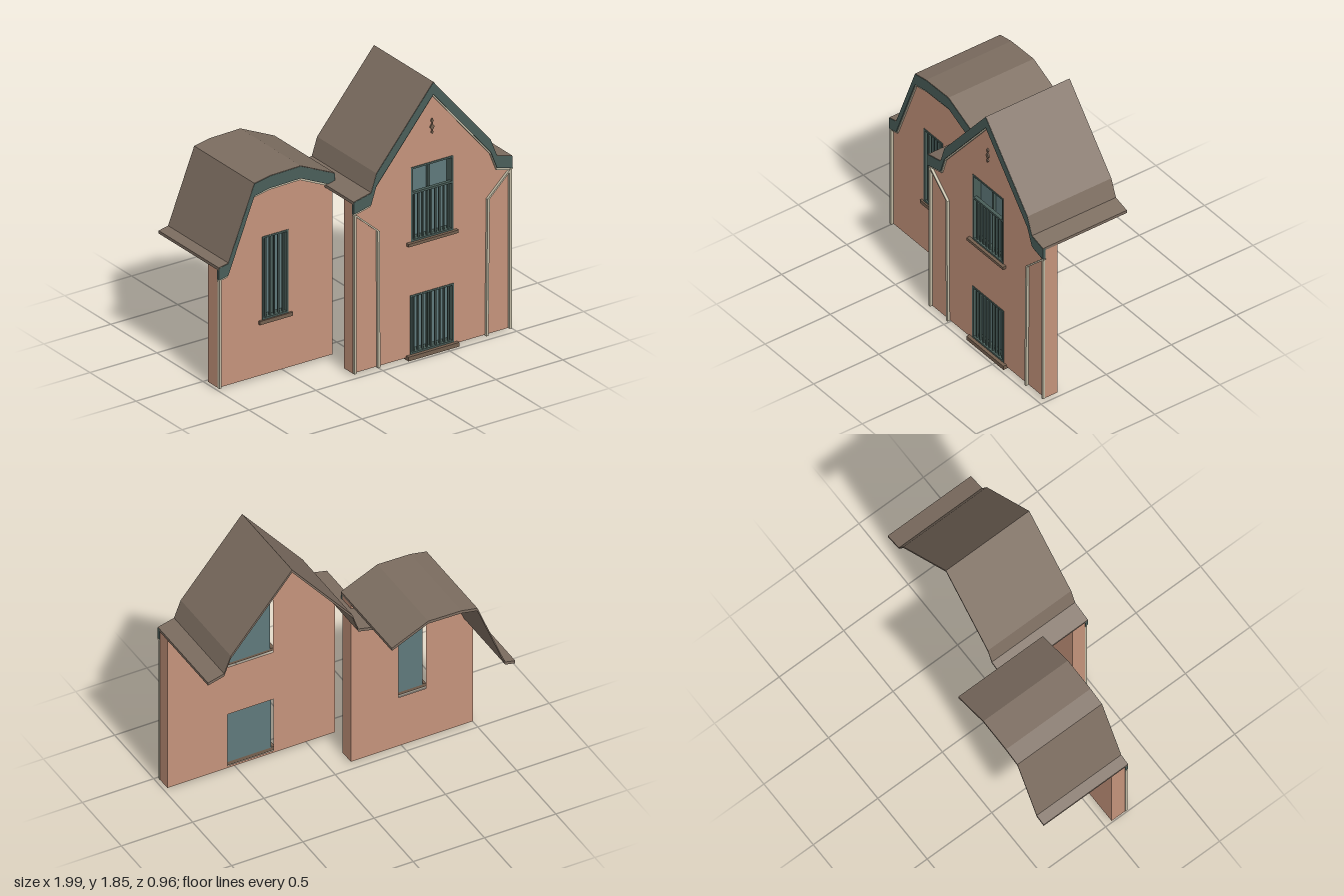
import * as THREE from 'three';

const mat = (name, color) => {
  const m = new THREE.MeshStandardMaterial({ color });
  m.name = name;
  return m;
};

export function createModel() {
  const brick = mat('brick', 0xc4937b);
  const roofing = mat('roof tile', 0x7c6d60);
  const green = mat('green paint', 0x4a5e59);
  const glass = mat('glass', 0x5f797b);
  const cream = mat('cream trim', 0xbfb8a2);
  const stone = mat('sill stone', 0x75604f);

  const add = (parent, name, geometry, material) => {
    const m = new THREE.Mesh(geometry, material);
    m.name = name;
    parent.add(m);
    return m;
  };
  const box = (parent, name, material, x0, x1, y0, y1, z0, z1) =>
    add(parent, name, new THREE.BoxGeometry(x1 - x0, y1 - y0, z1 - z0), material)
      .position.set((x0 + x1) / 2, (y0 + y1) / 2, (z0 + z1) / 2);

  // Outline in x, y pushed from z0 to z1, with rectangular openings
  const slab = (points, z0, z1, openings = []) => {
    const shape = new THREE.Shape(points.map(([x, y]) => new THREE.Vector2(x, y)));
    for (const [x0, x1, y0, y1] of openings) {
      shape.holes.push(new THREE.Path([[x0, y0], [x0, y1], [x1, y1], [x1, y0]]
        .map(([x, y]) => new THREE.Vector2(x, y))));
    }
    return new THREE.ExtrudeGeometry(shape, { depth: z1 - z0, bevelEnabled: false })
      .translate(0, 0, z0);
  };
  // Strip that follows a roof line, between two depths below it
  const band = (line, d0, d1, z0, z1) => slab([
    ...line.map(([x, y]) => [x, y - d0]),
    ...line.map(([x, y]) => [x, y - d1]).reverse(),
  ], z0, z1);

  // Recessed window: glass, frame, upright bars up to barTop, and a sill
  const makeWindow = (parent, name, [x0, x1, y0, y1], front, o) => {
    const g = new THREE.Group();
    g.name = name;
    parent.add(g);
    const back = front - 0.06, f = 0.012, mid = (x0 + x1) / 2;
    box(g, 'pane', glass, x0, x1, y0, y1, back, back + 0.008);
    for (const [a, b] of [[x0, x0 + f], [x1 - f, x1]]) {
      box(g, 'frameSide', green, a, b, y0, y1, back + 0.008, front + 0.004);
    }
    box(g, 'frameTop', green, x0, x1, y1 - f, y1, back + 0.008, front + 0.004);
    box(g, 'frameBottom', green, x0, x1, y0, y0 + f, back + 0.008, front + 0.004);
    if (o.mullion) box(g, 'mullion', green, mid - 0.008, mid + 0.008, y0, y1, back + 0.008, back + 0.028);
    for (let i = 1; i < o.bars; i++) {
      const x = x0 + (x1 - x0) * i / o.bars;
      box(g, 'bar', green, x - 0.005, x + 0.005, y0, o.barTop, front - 0.018, front - 0.006);
    }
    if (o.barTop < y1) box(g, 'handrail', green, x0, x1, o.barTop - 0.01, o.barTop + 0.004, front - 0.02, front + 0.004);
    const [sx0, sx1, sy0, sy1] = o.sill;
    box(g, 'sill', stone, sx0, sx1, sy0, sy1, front - 0.055, front + o.reach);
  };

  // One house front: wall, roof, fascia and trim
  const makeHouse = (parent, line, wallX, openings, back, front, roofBack) => {
    const top = line.map(([x, y]) => [x, y - 0.015]);
    top[0][0] = wallX[0];
    top[top.length - 1][0] = wallX[1];
    add(parent, 'wall', slab([[wallX[0], 0.015], ...top, [wallX[1], 0.015]], back, front, openings), brick);
    add(parent, 'roof', band(line, 0, 0.02, roofBack, front + 0.018), roofing);
    add(parent, 'fascia', band(line, 0.004, 0.085, front, front + 0.02), green);
    add(parent, 'fasciaTrim', band(line, 0.085, 0.1, front, front + 0.012), cream);
  };

  // Square pipe through a list of points on the wall face
  const makePipe = (parent, points, z) => {
    const w = 0.008;
    const left = points.map(([x, y]) => [x - w, y]);
    const right = points.map(([x, y]) => [x + w, y]).reverse();
    add(parent, 'drainpipe', slab([...left, ...right], z, z + 0.018), cream);
  };

  const model = new THREE.Group();
  model.name = 'houses';

  // Tall gabled house
  const tall = new THREE.Group();
  tall.name = 'gabledHouse';
  model.add(tall);
  const gable = [[-0.2, 1.19], [-0.07, 1.22], [-0.03, 1.34], [0.395, 1.85],
    [0.825, 1.34], [0.872, 1.22], [0.985, 1.19]];
  const upper = [0.24, 0.555, 0.795, 1.3];
  const lower = [0.235, 0.56, 0.03, 0.43];
  makeHouse(tall, gable, [-0.195, 0.98], [upper, lower], 0.36, 0.455, -0.17);
  makeWindow(tall, 'upperWindow', upper, 0.455,
    { bars: 10, barTop: 1.125, mullion: true, sill: [0.207, 0.58, 0.775, 0.795], reach: 0.025 });
  makeWindow(tall, 'lowerWindow', lower, 0.455,
    { bars: 10, barTop: 0.43, mullion: true, sill: [0.205, 0.585, 0, 0.028], reach: 0.025 });
  makePipe(tall, [[-0.186, 0.015], [-0.186, 1.09]], 0.455);
  makePipe(tall, [[-0.186, 1.095], [-0.012, 0.94], [-0.008, 0.01]], 0.455);
  makePipe(tall, [[0.974, 0.015], [0.974, 1.1]], 0.455);
  makePipe(tall, [[0.985, 1.105], [0.81, 0.94], [0.8, 0.01]], 0.455);
  // Three diamonds under the ridge
  for (const [y, w, h] of [[1.582, 0.011, 0.016], [1.54, 0.016, 0.025], [1.503, 0.01, 0.013]]) {
    add(tall, 'diamond', slab([[0.395 - w, y], [0.395, y - h], [0.395 + w, y], [0.395, y + h]], 0.455, 0.464), stone);
  }

  // Low house with a curved roof
  const low = new THREE.Group();
  low.name = 'curvedRoofHouse';
  model.add(low);
  const curve = [[-1, 0.84], [-0.93, 0.855], [-0.735, 1.345], [-0.62, 1.367],
    [-0.39, 1.372], [-0.135, 1.255]];
  const side = [-0.665, -0.47, 0.39, 0.955];
  makeHouse(low, curve, [-0.995, -0.137], [side], 0.05, 0.155, -0.48);
  makeWindow(low, 'sideWindow', side, 0.155,
    { bars: 6, barTop: 0.955, mullion: true, sill: [-0.69, -0.445, 0.365, 0.39], reach: 0.015 });
  makePipe(low, [[-0.989, 0.015], [-0.989, 0.755]], 0.155);

  return model;
}
